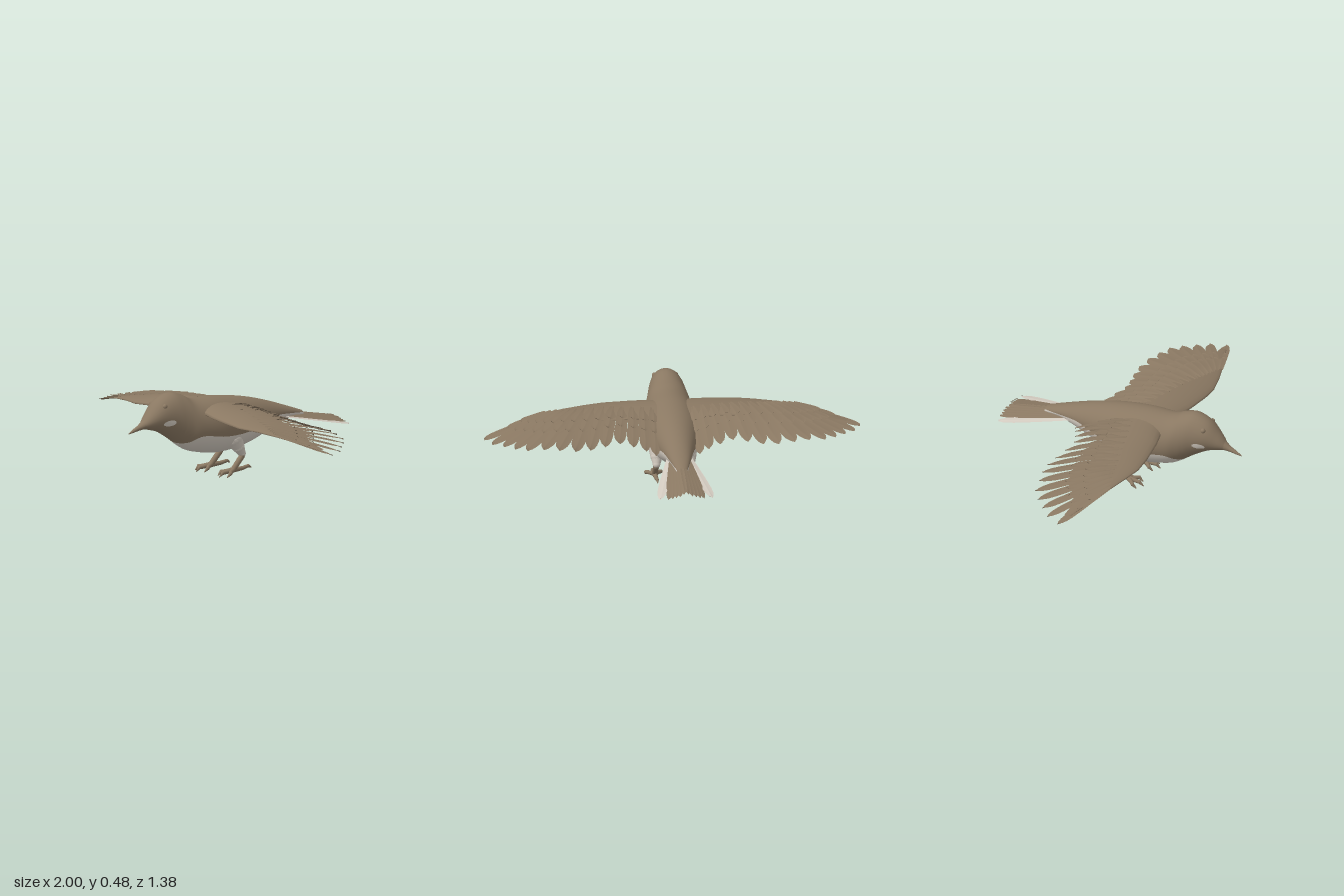
import * as THREE from 'three';

const brown = new THREE.MeshStandardMaterial({ color: 0x8a7862, side: THREE.DoubleSide });
brown.name = 'brown plumage';
const pale = new THREE.MeshStandardMaterial({ color: 0xd2cabf, side: THREE.DoubleSide });
pale.name = 'pale plumage';

const lerp = THREE.MathUtils.lerp;

function mesh(name, geo, mat) {
  const m = new THREE.Mesh(geo, mat);
  m.name = name;
  return m;
}

// Skin over rows of [x, y, z] points; columns picked by isSecond use material 1
function skin(rows, closed, isSecond = () => false) {
  const n = rows[0].length, lists = [[], []];
  for (let i = 0; i < rows.length - 1; i++) {
    for (let j = 0; j < (closed ? n : n - 1); j++) {
      const k = (j + 1) % n, a = i * n + j, b = i * n + k, c = a + n, d = b + n;
      lists[isSecond(j) ? 1 : 0].push(a, b, c, b, d, c);
    }
  }
  const geo = new THREE.BufferGeometry();
  geo.setAttribute('position', new THREE.Float32BufferAttribute(rows.flat(2), 3));
  geo.setIndex([...lists[0], ...lists[1]]);
  geo.addGroup(0, lists[0].length, 0);
  geo.addGroup(lists[0].length, lists[1].length, 1);
  geo.computeVertexNormals();
  return geo;
}

// Body sections: z, top, bottom, half width, height of the pale edge
const bodySections = [
  [0.60, 0.335, 0.300, 0.022, 0.2], [0.56, 0.385, 0.290, 0.048, 0.2],
  [0.50, 0.447, 0.272, 0.075, 0.2], [0.42, 0.476, 0.225, 0.095, 0.2],
  [0.35, 0.460, 0.175, 0.112, 0.205], [0.28, 0.430, 0.143, 0.130, 0.24],
  [0.14, 0.425, 0.120, 0.147, 0.225], [0.00, 0.410, 0.130, 0.140, 0.23],
  [-0.12, 0.388, 0.160, 0.115, 0.255], [-0.24, 0.355, 0.207, 0.085, 0.285],
  [-0.36, 0.315, 0.245, 0.055, 0.28], [-0.46, 0.280, 0.245, 0.030, 0.27],
];
const beakSections = [
  [0.585, 0.350, 0.297, 0.030, 0], [0.62, 0.324, 0.293, 0.016, 0],
  [0.66, 0.303, 0.285, 0.009, 0], [0.69, 0.285, 0.280, 0.002, 0],
].reverse();

function sampler(sections) {
  const spline = f => new THREE.CatmullRomCurve3(sections.map(f), false, 'catmullrom');
  const a = spline(s => new THREE.Vector3(s[0], s[1], s[2]));
  const b = spline(s => new THREE.Vector3(s[3], s[4], 0));
  return t => {
    const p = a.getPoint(t), q = b.getPoint(t);
    return { z: p.x, yc: (p.y + p.z) / 2, h: (p.y - p.z) / 2, w: q.x, edge: q.y };
  };
}

// Oval rings with one vertex held on the colour edge
function bodyRows(sections, steps) {
  const at = sampler(sections), UP = 12, LOW = 9, rows = [];
  for (let i = 0; i <= steps; i++) {
    const s = at(i / steps);
    const e = Math.asin(THREE.MathUtils.clamp((s.edge - s.yc) / s.h, -1, 1));
    const angles = [];
    for (let j = 0; j < UP; j++) angles.push(lerp(Math.PI / 2, e, j / UP));
    for (let j = 0; j <= LOW; j++) angles.push(lerp(e, -Math.PI / 2, j / LOW));
    const half = angles.map(t => [s.w * Math.cos(t), s.yc + s.h * Math.sin(t), s.z]);
    rows.push([...half, ...half.slice(1, -1).reverse().map(p => [-p[0], p[1], p[2]])]);
  }
  return skin(rows, true, j => j >= UP && j < UP + 2 * LOW);
}

// Half width of the body at a given height and depth
function bodyX(y, z) {
  const at = sampler(bodySections);
  let lo = 0, hi = 1;
  for (let i = 0; i < 24; i++) {
    const mid = (lo + hi) / 2;
    if (at(mid).z > z) lo = mid; else hi = mid;
  }
  const s = at(lo);
  return s.w * Math.sqrt(Math.max(0, 1 - ((y - s.yc) / s.h) ** 2));
}

// Rounded feather from root to tip ([x, z]) lying on the height rule
const featherProfile = [[0, 0.5], [0.2, 0.7], [0.4, 0.85], [0.6, 0.97], [0.78, 1], [0.88, 0.88], [0.95, 0.6], [1, 0.12]];
function feather(root, tip, width, height, tilt) {
  const dx = tip[0] - root[0], dz = tip[1] - root[1], len = Math.hypot(dx, dz);
  const rows = featherProfile.map(([s, w]) => [-1, -0.12, 0, 0.12, 1].map(u => {
    const x = root[0] + dx * s - (dz / len) * width * w * u;
    const z = root[1] + dz * s + (dx / len) * width * w * u;
    return [x, height(x, z) + tilt * u + (u === 0 ? 0.003 : 0), z];
  }));
  return skin(rows, false);
}

// Piecewise linear lookup
function table(points, x) {
  const i = Math.max(1, points.findIndex(p => p[0] >= x));
  const [a, b] = [points[i - 1], points[i]];
  return lerp(a[1], b[1], (x - a[0]) / (b[0] - a[0]));
}

// Wing surface: drooping toward the tip, cambered near the body
const wingTop = [[-1, 0.385], [0.15, 0.385], [0.35, 0.375], [0.6, 0.343], [0.8, 0.302], [1, 0.257], [2, 0.1]];
const wingY = (x, z) => table(wingTop, x) -
  lerp(0.85, 0.25, THREE.MathUtils.smoothstep(x, 0.3, 0.8)) * (z - 0.13) ** 2;

const wingTips = [
  [1.0, 0.10], [0.965, 0.02], [0.91, -0.035], [0.855, -0.09], [0.795, -0.135], [0.71, -0.155],
  [0.63, -0.178], [0.545, -0.188], [0.465, -0.18], [0.385, -0.162], [0.305, -0.15],
  [0.235, -0.178], [0.17, -0.208], [0.12, -0.235],
];

function makeWing() {
  const wing = new THREE.Group();
  // Wing arm: x, leading z, trailing z, thickness
  const arm = [
    [0.04, 0.25, 0.0, 0.07], [0.12, 0.27, 0.0, 0.06], [0.2, 0.287, 0.01, 0.05], [0.35, 0.303, 0.02, 0.04],
    [0.45, 0.302, 0.05, 0.034], [0.57, 0.275, 0.08, 0.026], [0.7, 0.232, 0.11, 0.018],
    [0.82, 0.185, 0.115, 0.012], [0.93, 0.137, 0.105, 0.006],
  ];
  const rows = arm.map(([x, lead, trail, thick]) => {
    const ring = [];
    for (let j = 0; j < 20; j++) {
      const a = j / 20 * Math.PI * 2, u = (1 - Math.cos(a)) / 2;
      const z = lerp(trail, lead, u);
      ring.push([x, wingY(x, z) + 0.5 * thick * Math.sin(a) * (0.3 + 0.7 * u) - 0.2 * thick * u, z]);
    }
    return ring;
  });
  wing.add(mesh('wingArm', skin(rows, true), brown));

  // Flight feathers, then two shorter rows of coverts lying above them
  const layers = [['flightFeather', 1, 0.036, -0.006], ['greaterCovert', 0.62, 0.034, 0.003], ['lesserCovert', 0.4, 0.032, 0.009]];
  for (const [name, reach, width, lift] of layers) {
    wingTips.forEach((tip, i) => {
      const f = i / (wingTips.length - 1);
      const root = i < 6 ? [lerp(0.66, 0.5, i / 5), lerp(0.235, 0.2, i / 5)]
                         : [lerp(0.46, 0.1, (i - 6) / 7), lerp(0.19, 0.1, (i - 6) / 7)];
      const end = [lerp(root[0], tip[0], reach), lerp(root[1], tip[1], reach)];
      const w = width * (i < 6 ? lerp(0.75, 1, i / 5) : lerp(1.15, 0.85, f));
      wing.add(mesh(name, feather(root, end, w, (x, z) => wingY(x, z) + lift, 0.005), brown));
    });
  }
  return wing;
}

// Tapered limb through joints [x, y, z, radius]
function limb(name, joints, mat) {
  const g = new THREE.Group();
  g.name = name;
  joints.forEach((j, i) => {
    const a = new THREE.Vector3(...j.slice(0, 3));
    const ball = mesh(name + 'Joint', new THREE.SphereGeometry(j[3], 14, 10), mat);
    ball.position.copy(a);
    g.add(ball);
    if (!joints[i + 1]) return;
    const b = new THREE.Vector3(...joints[i + 1].slice(0, 3)), d = b.clone().sub(a);
    const rod = mesh(name + 'Segment', new THREE.CylinderGeometry(joints[i + 1][3], j[3], d.length(), 14, 1, true), mat);
    rod.position.copy(a).addScaledVector(d, 0.5);
    rod.quaternion.setFromUnitVectors(new THREE.Vector3(0, 1, 0), d.normalize());
    g.add(rod);
  });
  return g;
}

function makeLeg() {
  const leg = new THREE.Group();
  leg.add(limb('thigh', [[0.085, 0.2, 0.055, 0.05], [0.09, 0.15, 0.025, 0.034], [0.092, 0.112, 0.002, 0.021]], pale));
  leg.add(limb('shank', [[0.092, 0.115, 0.002, 0.019], [0.094, 0.095, 0.005, 0.016], [0.096, 0.036, 0.06, 0.015]], brown));
  for (const x of [0.058, 0.1, 0.138]) {
    const tipZ = x === 0.1 ? 0.158 : 0.135;
    leg.add(limb('frontToe', [[0.096, 0.032, 0.06, 0.014], [lerp(0.096, x, 0.55), 0.024, lerp(0.06, tipZ, 0.5), 0.011],
      [x, 0.022, tipZ - 0.022, 0.01], [x, 0.004, tipZ, 0.003]], brown));
  }
  leg.add(limb('backToe', [[0.096, 0.03, 0.06, 0.014], [0.094, 0.032, 0.0, 0.011], [0.092, 0.04, -0.04, 0.009], [0.092, 0.03, -0.058, 0.003]], brown));
  return leg;
}

// Cheek patch hugging the side of the head
function makeCheek() {
  const rows = [0.01, 0.5, 1].map(r => Array.from({ length: 20 }, (_, j) => {
    const a = j / 20 * Math.PI * 2;
    const z = 0.472 + 0.034 * r * Math.cos(a), y = 0.326 + 0.016 * r * Math.sin(a) + 0.08 * (0.472 - z);
    return [bodyX(y, z) + 0.003, y, z];
  }));
  return mesh('cheekPatch', skin(rows, true), pale);
}

export function createModel() {
  const bird = new THREE.Group();
  bird.name = 'bird';
  bird.add(mesh('body', bodyRows(bodySections, 66), [brown, pale]));
  bird.add(mesh('beak', bodyRows(beakSections, 12).rotateX(0), [brown, brown]));

  // Fanned tail with a pale feather on each outer edge
  const tail = new THREE.Group();
  tail.name = 'tail';
  for (let k = -5.5; k <= 5.5; k++) {
    const n = Math.abs(k), outer = n > 5, s = Math.sign(k);
    const height = (x, z) => lerp(0.298, 0.226, (-0.3 - z) / 0.39) - 0.005 * n;
    const tip = outer ? [s * 0.137, -0.68] : [k * 0.0205, n < 1 ? -0.68 : -0.692];
    tail.add(mesh(outer ? 'outerTailFeather' : 'tailFeather',
      feather([k * 0.0085, -0.27], tip, outer ? 0.026 : 0.019, height, -0.003 * s), outer ? pale : brown));
  }
  bird.add(tail);

  // Paired parts
  for (const side of [1, -1]) {
    const half = new THREE.Group();
    half.name = side > 0 ? 'leftSide' : 'rightSide';
    const wing = makeWing(), leg = makeLeg();
    wing.name = 'wing';
    leg.name = 'leg';
    const eye = mesh('eye', new THREE.SphereGeometry(0.014, 14, 10), brown);
    eye.position.set(bodyX(0.415, 0.49) - 0.007, 0.415, 0.49);
    half.add(wing, leg, makeCheek(), eye);
    half.scale.x = side;
    bird.add(half);
  }
  return bird;
}
